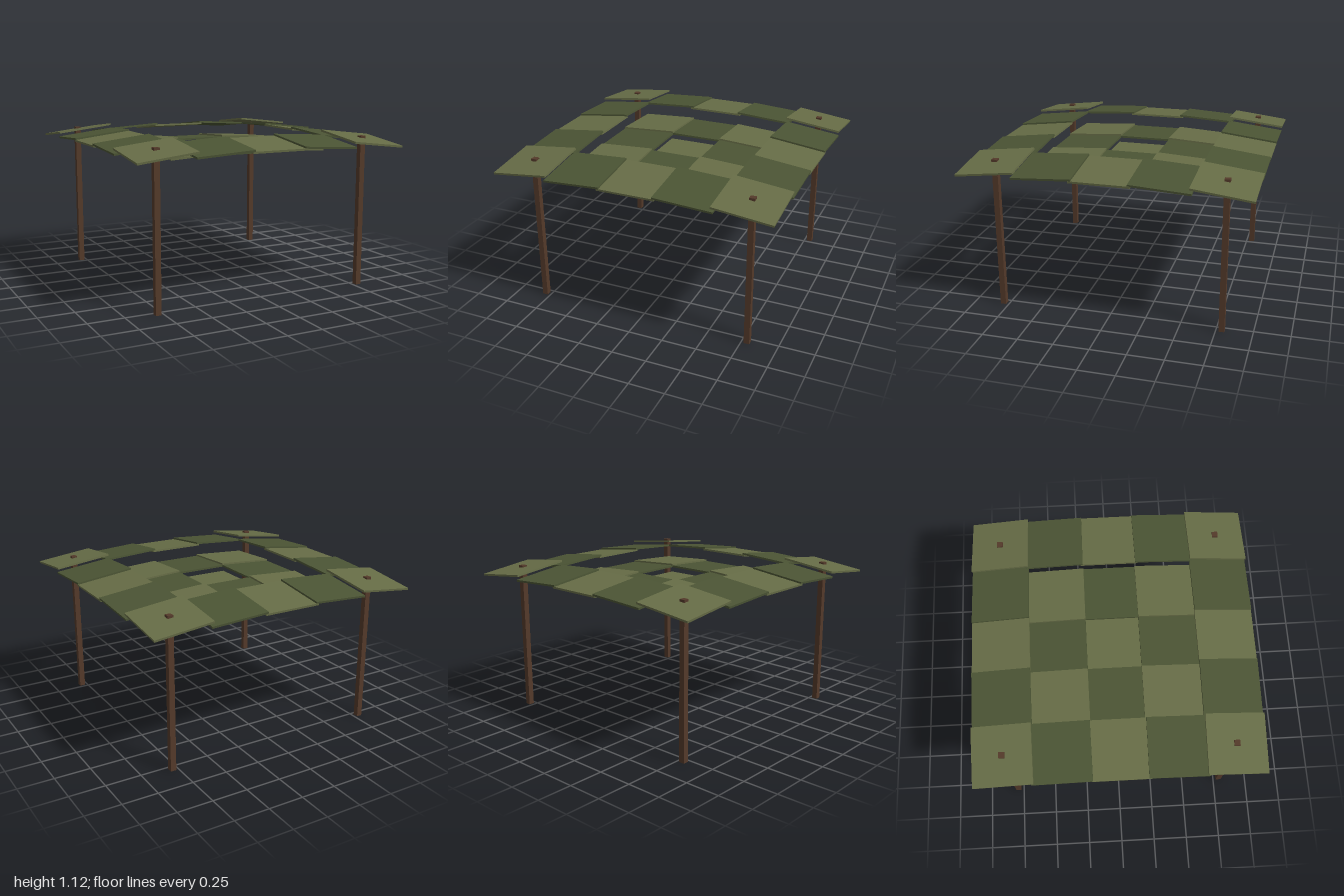
import * as THREE from 'three';

export function createModel() {
  const model = new THREE.Group();
  model.name = 'canopy';

  const light = new THREE.MeshStandardMaterial({ color: 0x666c46 });
  const dark = new THREE.MeshStandardMaterial({ color: 0x4b5434 });
  const wood = new THREE.MeshStandardMaterial({ color: 0x543a2a });

  // Roof: 5 x 5 checkered panels, stepping up ring by ring and tilting outwards
  const pitch = 0.395, tilt = 0.059;
  const ringHeight = [0.958, 0.999, 1.065];
  const panel = new THREE.BoxGeometry(0.413, 0.014, 0.413);
  const roof = new THREE.Group();
  roof.name = 'roof';
  for (let i = -2; i <= 2; i++) {
    for (let j = -2; j <= 2; j++) {
      const mesh = new THREE.Mesh(panel, (i + j) % 2 === 0 ? light : dark);
      mesh.name = 'roofPanel';
      const ring = Math.max(Math.abs(i), Math.abs(j));
      mesh.position.set(i * pitch, ringHeight[ring], j * pitch);
      mesh.rotation.set(j * tilt, 0, -i * tilt);
      roof.add(mesh);
    }
  }
  model.add(roof);

  // Posts: their tips poke through the corner panels
  const postHeight = 1.086;
  const post = new THREE.BoxGeometry(0.04, postHeight, 0.04);
  for (const x of [-1, 1]) {
    for (const z of [-1, 1]) {
      const mesh = new THREE.Mesh(post, wood);
      mesh.name = 'post';
      mesh.position.set(x * 0.79, postHeight / 2, z * 0.79);
      model.add(mesh);
    }
  }
  return model;
}
